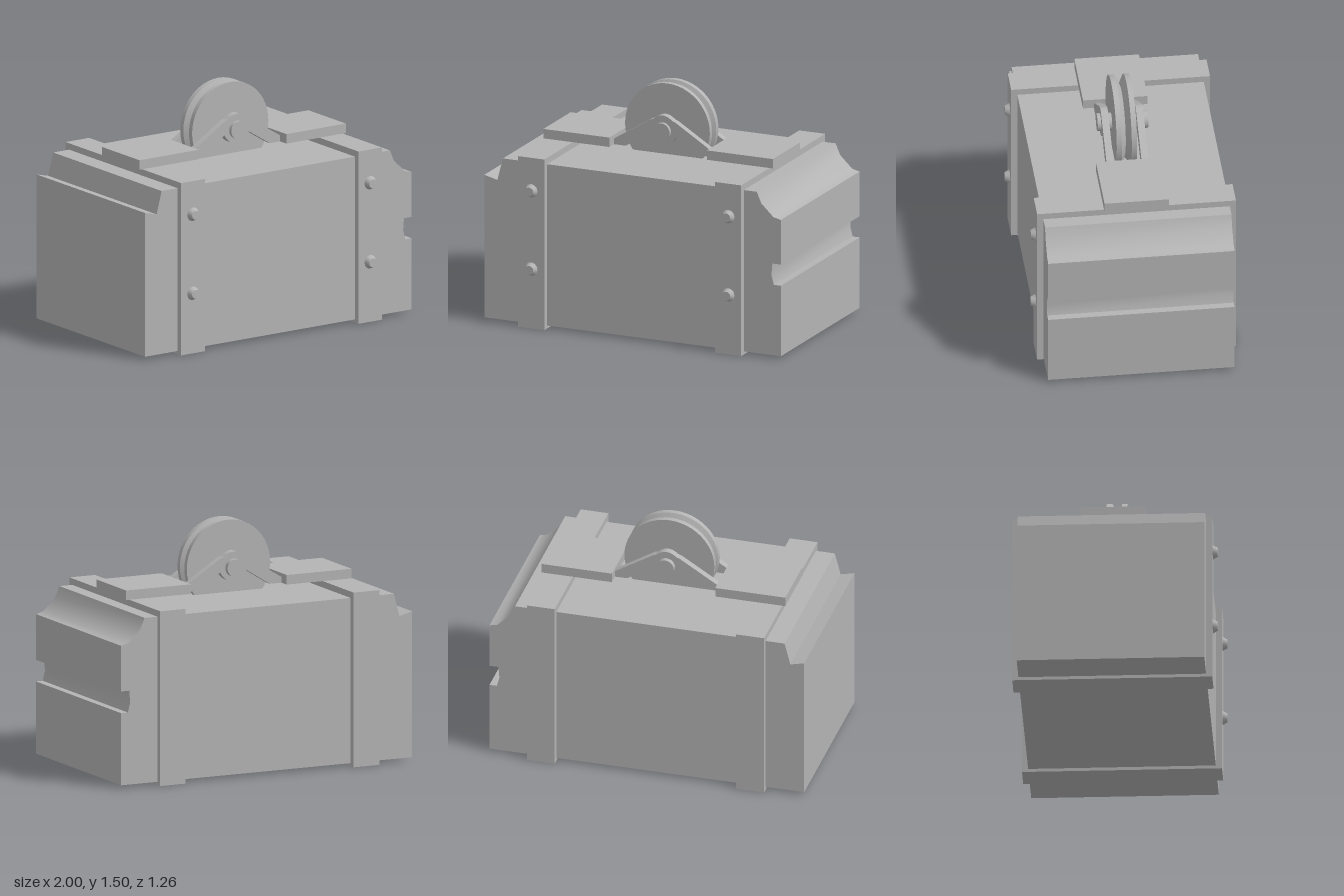
import * as THREE from 'three';
import { toCreasedNormals } from 'three/addons/utils/BufferGeometryUtils.js';

const grey = new THREE.MeshStandardMaterial({ color: 0xb4b4b4 });
grey.name = 'grey metal';

const CREASE = 0.65;
const MID_Z = -0.012; // centre plane of the pulley

function add(group, name, geometry, x = 0, y = 0, z = 0) {
  const mesh = new THREE.Mesh(geometry, grey);
  mesh.name = name;
  mesh.position.set(x, y, z);
  group.add(mesh);
  return mesh;
}

// Box given by its limits on each axis
function addBox(group, name, [x0, x1], [y0, y1], [z0, z1]) {
  return add(group, name, new THREE.BoxGeometry(x1 - x0, y1 - y0, z1 - z0),
    (x0 + x1) / 2, (y0 + y1) / 2, (z0 + z1) / 2);
}

// Side outline extruded along z, starting at z = 0
function extrude(shape, depth) {
  const geometry = new THREE.ExtrudeGeometry(shape, { depth, bevelEnabled: false, curveSegments: 10 });
  return toCreasedNormals(geometry, CREASE);
}

export function createModel() {
  const model = new THREE.Group();
  model.name = 'pulleyBlock';

  // Block with a stepped left end, a rounded shoulder and a side groove
  const outline = [
    [-1, 0.02], [1, 0.02], [1, 0.47], [0.953, 0.47], [0.937, 0.53], [0.943, 0.605],
    [1, 0.605], [1, 0.89], [0.95, 0.902], [0.868, 0.98], [0.838, 1.05],
    [-0.875, 1.05], [-0.912, 0.908], [-1, 0.93],
  ].map(([x, y]) => new THREE.Vector2(x, y));
  add(model, 'body', extrude(new THREE.Shape(outline), 1.15), 0, 0, -0.59);

  // Straps around the block, with tapered bolts on the front
  const boltGeometry = toCreasedNormals(new THREE.CylinderGeometry(0.028, 0.043, 0.03, 12).rotateX(Math.PI / 2), CREASE);
  for (const [side, x0, x1] of [['right', -0.755, -0.578], ['left', 0.575, 0.75]]) {
    addBox(model, side + 'Strap', [x0, x1], [0, 1.09], [-0.628, 0.598]);
    for (const y of [0.38, 0.88]) add(model, side + 'Bolt', boltGeometry, (x0 + x1) / 2, y, 0.613);
  }

  // Mounting plates on top of the straps
  addBox(model, 'rightPlate', [-0.775, -0.33], [1.09, 1.15], [-0.213, 0.185]);
  addBox(model, 'leftPlate', [0.327, 0.773], [1.09, 1.15], [-0.213, 0.185]);

  // Pair of arched brackets that carry the axle
  const arch = new THREE.Shape();
  arch.moveTo(-0.34, 1.09);
  arch.lineTo(-0.25, 1.09);
  arch.lineTo(-0.09, 1.19);
  arch.quadraticCurveTo(-0.06, 1.13, 0, 1.13);
  arch.quadraticCurveTo(0.06, 1.13, 0.09, 1.19);
  arch.lineTo(0.25, 1.09);
  arch.lineTo(0.34, 1.09);
  arch.lineTo(0.34, 1.12);
  arch.lineTo(0.085, 1.278);
  arch.lineTo(0.065, 1.285);
  arch.quadraticCurveTo(0.03, 1.314, 0, 1.314);
  arch.quadraticCurveTo(-0.03, 1.314, -0.065, 1.285);
  arch.lineTo(-0.085, 1.278);
  arch.lineTo(-0.34, 1.12);
  const archGeometry = extrude(arch, 0.044);
  add(model, 'frontBracket', archGeometry, 0, 0, MID_Z + 0.086);
  add(model, 'backBracket', archGeometry, 0, 0, MID_Z - 0.13);

  // Axle
  const axle = new THREE.CylinderGeometry(0.055, 0.055, 0.312, 32).rotateX(Math.PI / 2);
  add(model, 'axle', axle, 0, 1.215, MID_Z - 0.004);

  // Pulley wheel with a V groove
  const rim = [[0, -0.063], [0.286, -0.063], [0.286, -0.03], [0.226, 0], [0.286, 0.03], [0.286, 0.063], [0, 0.063]]
    .map(([r, h]) => new THREE.Vector2(r, h));
  const wheel = toCreasedNormals(new THREE.LatheGeometry(rim, 48).rotateX(Math.PI / 2), CREASE);
  add(model, 'pulleyWheel', wheel, 0, 1.215, MID_Z);

  return model;
}
